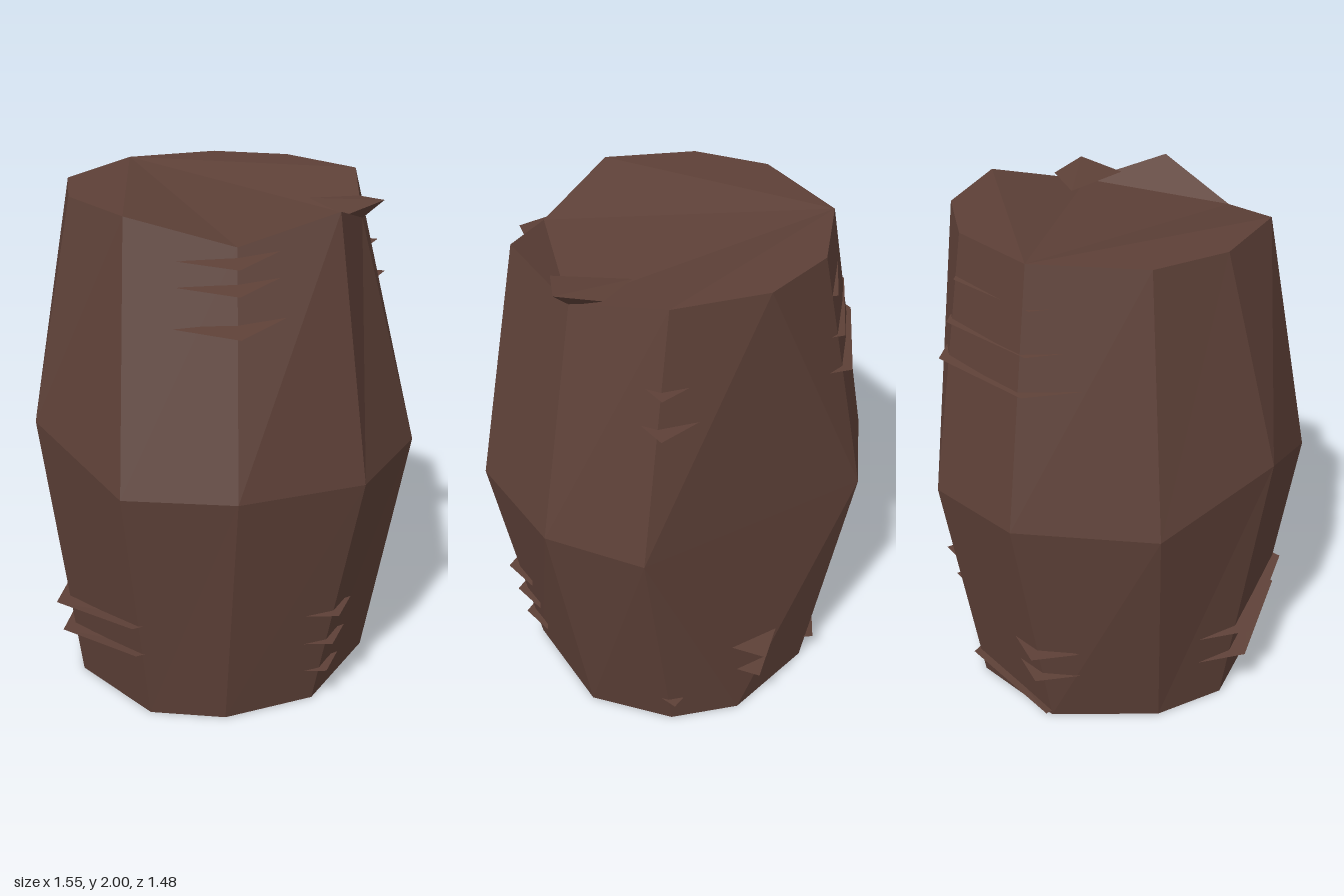
import * as THREE from 'three';

const bark = new THREE.MeshStandardMaterial({ color: 0x5d4037, flatShading: true, side: THREE.DoubleSide });
bark.name = 'bark brown';

// Mesh from a flat list of triangle corners
function facets(name, corners) {
  const g = new THREE.BufferGeometry().setFromPoints(corners.map(c => new THREE.Vector3(...c)));
  g.computeVertexNormals();
  const mesh = new THREE.Mesh(g, bark);
  mesh.name = name;
  return mesh;
}

// Ten-sided cross-sections, each corner as [x, y, z], counter-clockwise from the front
const bottom = [[.09, .61], [.42, .43], [.605, 0], [.50, -.335], [.29, -.525], [-.12, -.58],
  [-.48, -.38], [-.60, .04], [-.54, .33], [-.21, .61]].map(([x, z]) => [x, 0, z]);
const middle = [[.15, .73], [.60, .50], [.775, .05], [.69, -.35], [.23, -.552], [-.20, -.74],
  [-.56, -.54], [-.78, -.03], [-.655, .45, 1.17], [-.28, .74]].map(([x, z, y = 1]) => [x, y, z]);
const top = [[.12, .53, 1.9], [.47, .385], [.54, .07, 1.9], [.50, -.33], [.21, -.55], [-.10, -.58],
  [-.43, -.42], [-.60, -.02], [-.53, .28], [-.28, .54]].map(([x, z, y = 2]) => [x, y, z]);

// Band of quads between two sections; the quad at index flipped is split the other way
function band(lo, hi, flipped) {
  const tris = [];
  for (let i = 0; i < 10; i++) {
    const j = (i + 1) % 10;
    if (i === flipped) tris.push(lo[i], lo[j], hi[i], lo[j], hi[j], hi[i]);
    else tris.push(lo[i], lo[j], hi[j], lo[i], hi[j], hi[i]);
  }
  return tris;
}

// Fan of triangles over a list of points
function fan(points) {
  const tris = [];
  for (let i = 1; i < points.length - 1; i++) tris.push(points[0], points[i], points[i + 1]);
  return tris;
}

// Stack of similar thin splinters with their ends sunk into the trunk.
// Outline points are [x, z, rise]; each level is [y, outward scale]
function splinterStack(name, outline, levels) {
  const group = new THREE.Group();
  group.name = name;
  for (const [y, s] of levels) {
    group.add(facets('splinter', fan(outline.map(([x, z, dy = 0]) => [x * s, y + dy, z * s]))));
  }
  return group;
}

export function createModel() {
  const model = new THREE.Group();
  model.name = 'stump';

  // Trunk sides
  model.add(facets('trunk', [...band(bottom, middle, 3), ...band(middle, top, 4)]));

  // Cut ends, the top one with a raised corner between two notches
  const flatTop = [6, 7, 8, 9, 0, 2, 3, 4, 5].map(i => top[i]);
  model.add(
    facets('topCut', [...fan(flatTop), top[0], top[1], top[2]]),
    facets('bottomCut', fan([...bottom].reverse())),
  );

  // Broken splinter in the rim notch
  const tip = [.62, 1.97, .07];
  model.add(facets('rimSplinter', [
    [.33, 1.94, -.05], [.48, 1.94, .20], tip,
    [.33, 1.94, -.05], tip, [.52, 1.95, -.07],
    [.48, 1.94, .20], [.53, 1.89, .07], tip,
    [.53, 1.89, .07], [.52, 1.95, -.07], tip,
  ]));

  // Bark splinters around the upper trunk
  model.add(
    splinterStack('frontUpperSplinters', [[-.09, .56], [.14, .64], [.27, .48, .03]], [[1.85, 1], [1.76, 1.03], [1.62, 1.1]]),
    splinterStack('backRightUpperSplinters', [[.42, -.41], [.60, -.37], [.55, -.22]], [[1.70, 1], [1.56, 1.06]]),
    splinterStack('backLeftUpperSplinters',
      [[0, -.55], [-.14, -.63, -.02], [-.48, -.43, -.02], [-.53, -.22]], [[1.86, .98], [1.70, 1.04], [1.56, 1.1]]),
  );

  // Bark splinters around the lower trunk
  model.add(
    splinterStack('frontLeftLowerSplinters',
      [[-.15, .62], [-.26, .69], [-.62, .42, -.065], [-.61, .20, -.07]], [[.43, 1], [.295, .97]]),
    splinterStack('frontRightLowerSplinters', [[.32, .53], [.52, .50], [.56, .34]], [[.43, 1], [.29, .96], [.15, .92]]),
    splinterStack('backLowerSplinters', [[.08, -.58], [.29, -.65], [.34, -.44]], [[.37, 1], [.23, .95]]),
    splinterStack('backRightLowerSplinter', [[.43, -.38], [.54, -.38], [.53, -.27]], [[.13, 1]]),
    splinterStack('backLeftLowerSplinters', [[-.34, -.49], [-.54, -.46], [-.56, -.28]], [[.38, 1.04], [.25, 1]]),
    splinterStack('baseSplinter', [[-.08, -.56], [-.14, -.63], [-.50, -.41, -.09], [-.47, -.36, -.1]], [[.12, 1]]),
  );
  return model;
}
